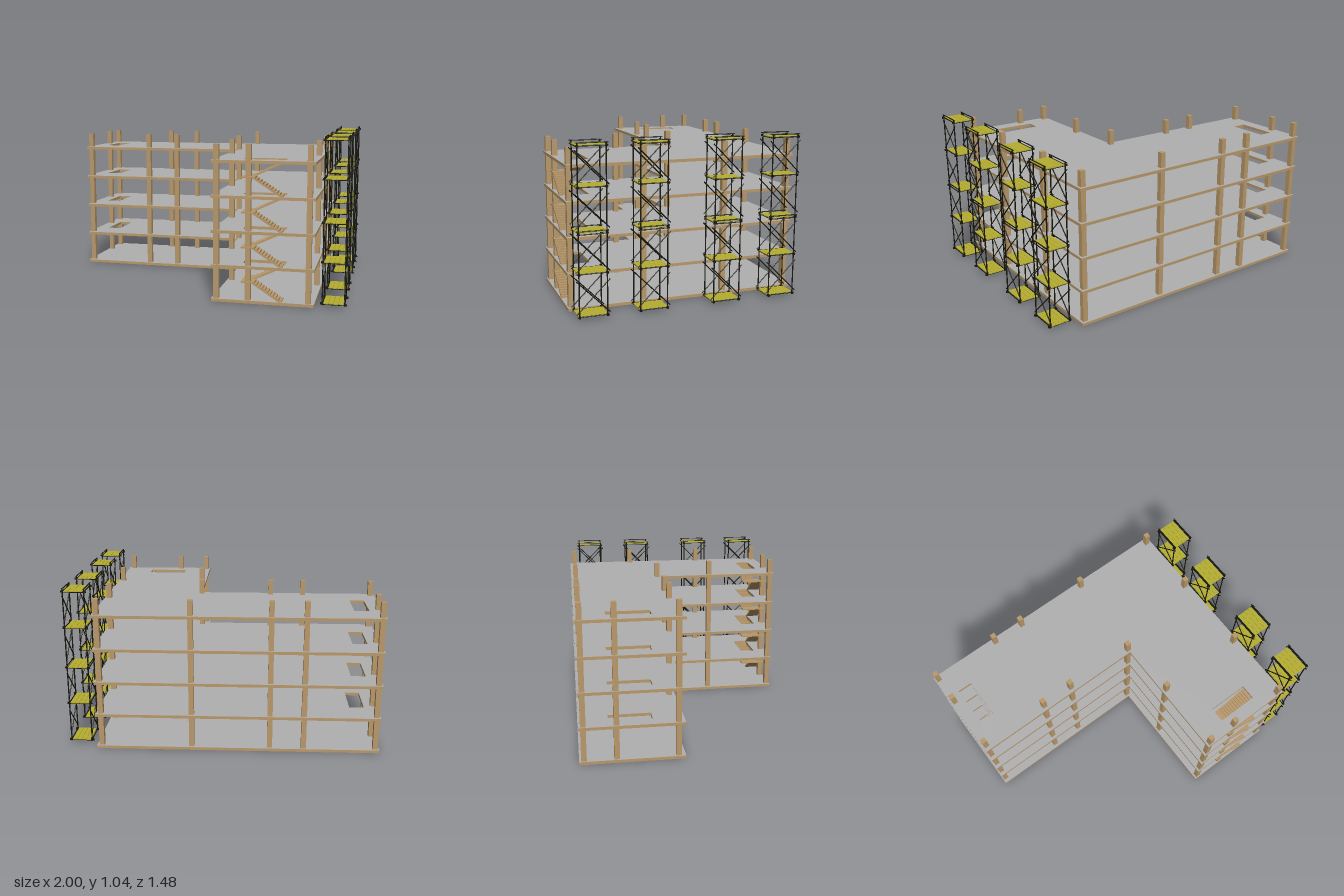
import * as THREE from 'three';

const mat = (name, color, side = THREE.FrontSide) => {
  const m = new THREE.MeshStandardMaterial({ color, side });
  m.name = name;
  return m;
};

export function createModel() {
  const timber = mat('tan timber', 0xb8986a);
  const floor = mat('grey floor', 0xb0b0b0);
  const plank = mat('yellow plank', 0xb5ae30);
  const steel = mat('dark steel', 0x17170c);

  const root = new THREE.Group();
  root.name = 'buildingFrame';

  const add = (parent, name, geo, material, x = 0, y = 0, z = 0) => {
    const m = new THREE.Mesh(geo, material);
    m.name = name;
    m.position.set(x, y, z);
    parent.add(m);
    return m;
  };
  const box = (parent, name, material, w, h, d, x, y, z) =>
    add(parent, name, new THREE.BoxGeometry(w, h, d), material, x, y, z);

  // Round bar between two points
  const bar = (parent, name, a, b, r) => {
    const p = new THREE.Vector3(...a), q = new THREE.Vector3(...b);
    const dir = q.clone().sub(p);
    const m = add(parent, name, new THREE.CylinderGeometry(r, r, dir.length(), 6), steel);
    m.position.copy(p).add(q).multiplyScalar(0.5);
    m.quaternion.setFromUnitVectors(new THREE.Vector3(0, 1, 0), dir.normalize());
  };

  // L-shaped floor outline, drawn as (x, -z)
  const T = 0.018, PITCH = 0.2165;
  const rect = (x0, x1, z0, z1) => new THREE.Path([
    new THREE.Vector2(x0, -z0), new THREE.Vector2(x1, -z0),
    new THREE.Vector2(x1, -z1), new THREE.Vector2(x0, -z1)]);
  const outline = (holes) => {
    const s = new THREE.Shape([[-1, 0.742], [-1, 0.1], [0.165, 0.1], [0.165, -0.738], [0.805, -0.738], [0.805, 0.742]]
      .map(([x, y]) => new THREE.Vector2(x, y)));
    if (holes) s.holes.push(rect(-0.915, -0.82, -0.56, -0.293), rect(0.35, 0.615, 0.55, 0.65));
    return s;
  };

  // Five slabs, the upper four with stair and shaft openings
  for (let i = 0; i < 5; i++) {
    const s = outline(i > 0);
    const slab = new THREE.ExtrudeGeometry(s, { depth: T, bevelEnabled: false }).rotateX(-Math.PI / 2);
    add(root, 'slab', slab, timber, 0, i * PITCH, 0);
    add(root, 'floorSurface', new THREE.ShapeGeometry(s).rotateX(-Math.PI / 2), floor, 0, i * PITCH + T + 0.001, 0);
  }

  // Columns through all storeys
  const columns = [
    [-0.975, -0.713], [-0.52, -0.713], [-0.304, -0.713], [0.195, -0.71], [0.775, -0.71],
    [-0.975, -0.516], [-0.975, -0.142], [-0.52, -0.137], [-0.304, -0.137], [0.165, -0.128],
    [0.775, -0.275], [0.195, 0.256], [0.775, 0.256], [0.195, 0.714], [0.395, 0.714], [0.768, 0.714]];
  for (const [x, z] of columns) box(root, 'column', timber, 0.033, 0.982, 0.033, x, 0.491, z);

  // Sawtooth flight from (x0, y0) up to (x1, y1), extruded along z
  const flight = (parent, name, x0, y0, x1, y1, z0, z1) => {
    const n = 11, dx = (x1 - x0) / n, dy = (y1 - y0) / n, t = 0.009;
    const pts = [new THREE.Vector2(x0, y0)];
    for (let i = 0; i < n; i++) {
      pts.push(new THREE.Vector2(x0 + i * dx, y0 + (i + 1) * dy));
      pts.push(new THREE.Vector2(x0 + (i + 1) * dx, y0 + (i + 1) * dy));
    }
    pts.push(new THREE.Vector2(x1, y1 - t), new THREE.Vector2(x0 + dx, y0));
    add(parent, name, new THREE.ExtrudeGeometry(new THREE.Shape(pts), { depth: z1 - z0, bevelEnabled: false }), timber, 0, 0, z0);
  };

  // Dog-leg stair on each storey
  for (let i = 0; i < 4; i++) {
    const stair = new THREE.Group();
    stair.name = 'staircase';
    stair.position.y = i * PITCH;
    flight(stair, 'lowerFlight', 0.608, T, 0.42, 0.137, 0.65, 0.735);
    flight(stair, 'upperFlight', 0.42, 0.137, 0.608, PITCH + T - 0.008, 0.56, 0.65);
    box(stair, 'landing', timber, 0.07, 0.008, 0.177, 0.388, 0.133, 0.647);
    root.add(stair);
  }

  // Scaffold towers along the right wing
  const HX = 0.067, HZ = 0.084;
  const decks = [0.025, 0.28, 0.52, 0.782, 1.015];
  const rails = [0.025, 0.28, 0.512, 0.53, 0.782, 1.015, 1.032];
  const braces = [0.14, 0.39, 0.645, 0.893];
  for (const z of [0.63, 0.26, -0.208, -0.581]) {
    const tower = new THREE.Group();
    tower.name = 'scaffoldTower';
    tower.position.set(0.92, 0, z);
    for (const sx of [-1, 1]) {
      const x = sx * HX;
      for (const sz of [-1, 1]) {
        bar(tower, 'post', [x, 0.015, sz * HZ], [x, 1.034, sz * HZ], 0.0042);
        for (const y of decks) box(tower, 'coupler', steel, 0.016, 0.012, 0.012, x + sx * 0.004, y, sz * HZ);
      }
      for (const y of rails) bar(tower, 'sideRail', [x, y, -0.096], [x, y, 0.096], 0.0035);
      // Cross braces on the long faces
      for (const y of braces) for (const s of [-1, 1])
        bar(tower, 'crossBrace', [x, y - 0.1 * s, -0.1], [x, y + 0.1 * s, 0.1], 0.0035);
    }
    for (const y of decks) {
      for (const sz of [-1, 1]) bar(tower, 'endRail', [-0.08, y - 0.004, sz * HZ], [0.08, y - 0.004, sz * HZ], 0.0035);
      // Four planks per deck
      for (let k = 0; k < 4; k++) box(tower, 'plank', plank, 0.0285, 0.006, 0.178, -0.045 + k * 0.03, y + 0.001, 0);
    }
    root.add(tower);
  }
  return root;
}
